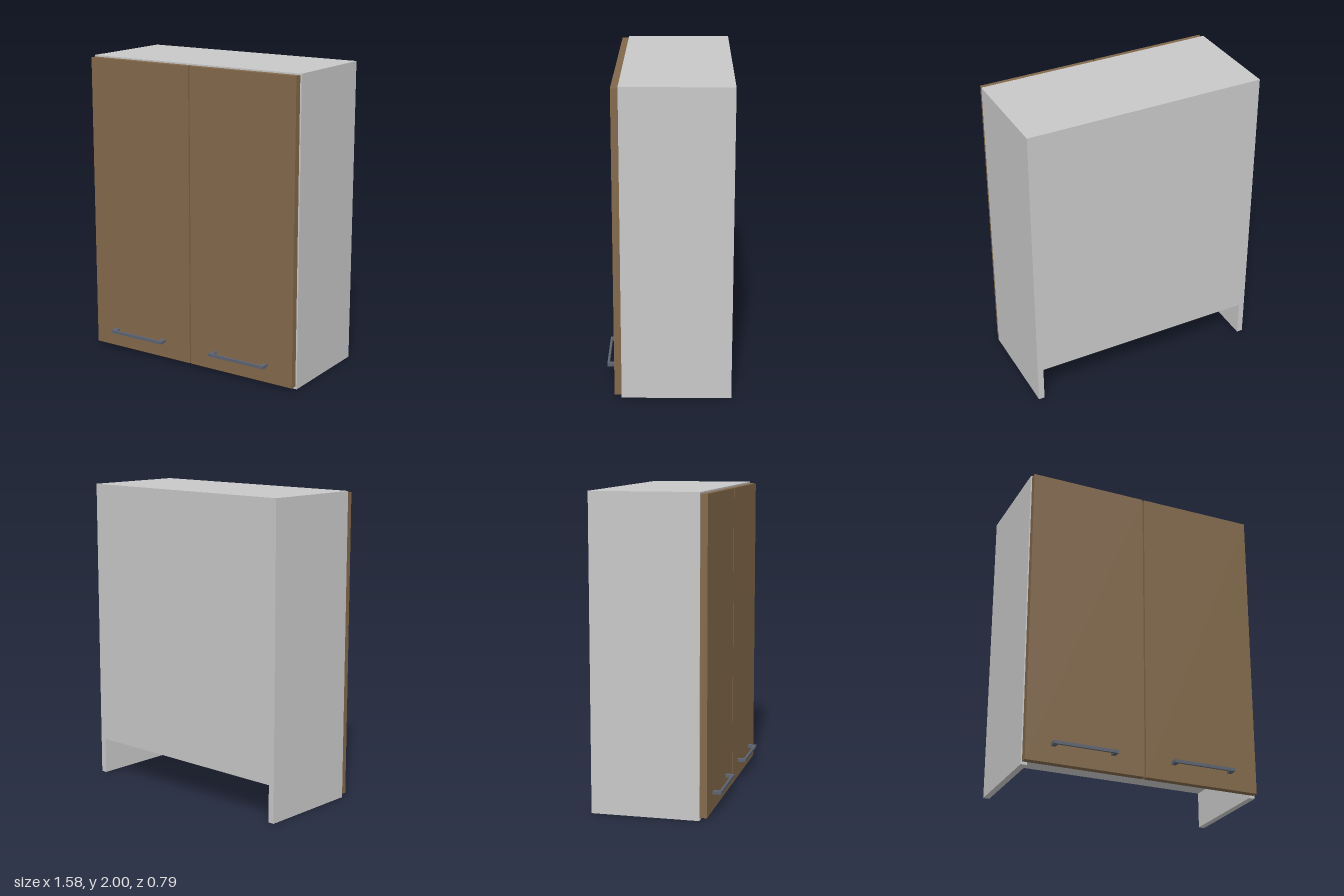
import * as THREE from 'three';

export function createModel() {
  const model = new THREE.Group();
  model.name = 'wallCabinet';

  const mat = (name, color) => {
    const m = new THREE.MeshStandardMaterial({ color });
    m.name = name;
    return m;
  };
  const grey = mat('lightGreyPanel', 0xc8c8c8);
  const brown = mat('brownWood', 0x82684a);
  const metal = mat('darkMetal', 0x5c6370);

  // Box given by its limits on each axis
  const box = (parent, name, material, [x0, x1], [y0, y1], [z0, z1]) => {
    const mesh = new THREE.Mesh(new THREE.BoxGeometry(x1 - x0, y1 - y0, z1 - z0), material);
    mesh.position.set((x0 + x1) / 2, (y0 + y1) / 2, (z0 + z1) / 2);
    mesh.name = name;
    parent.add(mesh);
  };

  const W = 0.788, T = 0.04, back = -0.395, front = 0.295, floor = 0.24;
  const inner = W - T;

  // Carcass: the sides run down past the bottom board
  const carcass = new THREE.Group();
  carcass.name = 'carcass';
  model.add(carcass);
  box(carcass, 'leftSide', grey, [inner, W], [0, 2], [back, front]);
  box(carcass, 'rightSide', grey, [-W, -inner], [0, 2], [back, front]);
  box(carcass, 'topBoard', grey, [-inner, inner], [2 - T, 2], [back, front]);
  box(carcass, 'bottomBoard', grey, [-inner, inner], [floor, floor + 0.035], [back, front]);
  box(carcass, 'backPanel', grey, [-inner, inner], [floor + 0.035, 2 - T], [back, back + 0.02]);

  // Doors: wood on the front and edges, grey on the inner face
  const doorMaterials = [brown, brown, brown, brown, brown, grey];
  const doors = [
    { side: 'right', x: [-0.78, -0.004], handle: [-0.618, -0.2] },
    { side: 'left', x: [0.006, 0.778], handle: [0.18, 0.598] },
  ];
  for (const { side, x, handle: [h0, h1] } of doors) {
    box(model, side + 'Door', doorMaterials, x, [0.018, 1.99], [front, 0.34]);

    // Bar handle on two posts
    const handle = new THREE.Group();
    handle.name = side + 'Handle';
    model.add(handle);
    const y = [0.124, 0.144];
    box(handle, 'handlePost', metal, [h0, h0 + 0.03], y, [0.34, 0.395]);
    box(handle, 'handlePost', metal, [h1 - 0.03, h1], y, [0.34, 0.395]);
    box(handle, 'handleBar', metal, [h0 + 0.03, h1 - 0.03], y, [0.381, 0.395]);
  }
  return model;
}
